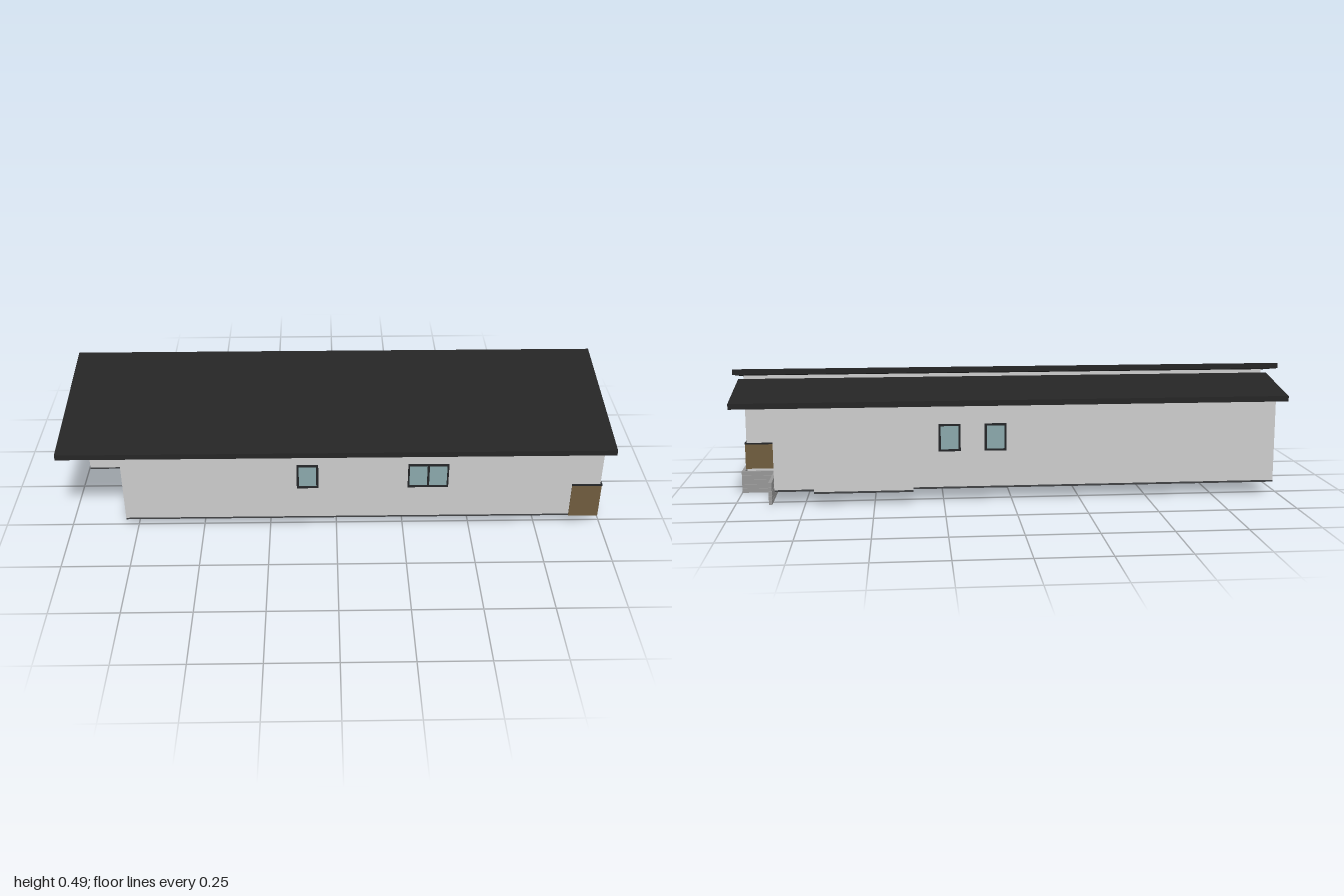
import * as THREE from 'three';

const mat = (color) => new THREE.MeshStandardMaterial({ color, flatShading: true });
const wallMat = mat(0xcccccc);
const roofMat = mat(0x252525);
const frameMat = mat(0x242628);
const glassMat = mat(0x8aa8ab);
const brickMat = mat(0x6f5c3e);
const floorMat = mat(0x404244);
const deckMat = mat(0x979797);

// Undersides of the two roof planes
const mainY = (z) => 0.37 + 0.164 * (0.36 - z);
const backY = (z) => 0.41 + 0.171 * (z + 0.085);

export function createModel() {
  const house = new THREE.Group();
  house.name = 'house';

  const add = (name, geometry, material, parent = house) => {
    const mesh = new THREE.Mesh(geometry, material);
    mesh.name = name;
    parent.add(mesh);
    return mesh;
  };

  const box = (name, material, x0, x1, y0, y1, z0, z1, parent) => {
    const mesh = add(name, new THREE.BoxGeometry(x1 - x0, y1 - y0, z1 - z0), material, parent);
    mesh.position.set((x0 + x1) / 2, (y0 + y1) / 2, (z0 + z1) / 2);
    return mesh;
  };

  // Prism along x from a [z, y] cross-section
  const prism = (name, material, points, x0, x1) => {
    const shape = new THREE.Shape(points.map(([z, y]) => new THREE.Vector2(-z, y)));
    const g = new THREE.ExtrudeGeometry(shape, { depth: x1 - x0, bevelEnabled: false });
    g.rotateY(Math.PI / 2).translate(x0, 0, 0);
    return add(name, g, material);
  };

  // Wall blocks with sloped tops, each on its strip of floor slab
  const blocks = [
    ['mainRoom', -0.79, 0.98, -0.085, 0.28, mainY],
    ['porchRoom', -0.98, -0.79, -0.085, -0.055, mainY],
    ['backRooms', -0.98, 0.86, -0.28, -0.085, backY],
    ['backBay', 0.36, 0.715, -0.32, -0.28, backY],
  ];
  for (const [name, x0, x1, z0, z1, top] of blocks) {
    prism(name + 'Walls', wallMat,
      [[z0, 0.052], [z1, 0.052], [z1, top(z1)], [z0, top(z0)]], x0, x1);
    box(name + 'Floor', floorMat, x0, x1, 0.045, 0.052, z0, z1);
  }
  box('hatch', wallMat, 0.01, 0.26, 0.044, 0.05, -0.275, -0.17);

  // Two overlapping roof planes
  const roof = (name, z0, z1, under) => prism(name, roofMat,
    [[z0, under(z0)], [z1, under(z1)], [z1, under(z1) + 0.02], [z0, under(z0) + 0.02]], -1, 1);
  roof('mainRoof', -0.22, 0.36, mainY);
  roof('backRoof', -0.36, -0.085, backY);

  // Framed window facing +z before turning; cols and rows list pane spans
  const windowUnit = (name, w, h, cols, rows, x, y, z, turn) => {
    const group = new THREE.Group();
    group.name = name;
    const rect = (C, x0, x1, y0, y1) => new C([
      new THREE.Vector2(x0, y0), new THREE.Vector2(x1, y0),
      new THREE.Vector2(x1, y1), new THREE.Vector2(x0, y1)]);
    const shape = rect(THREE.Shape, -w / 2, w / 2, -h / 2, h / 2);
    for (const [a, b] of cols) {
      for (const [c, d] of rows) shape.holes.push(rect(THREE.Path, a, b, c, d));
    }
    add('frame', new THREE.ExtrudeGeometry(shape, { depth: 0.006, bevelEnabled: false }), frameMat, group);
    box('glass', glassMat, -w / 2 + 0.003, w / 2 - 0.003, -h / 2 + 0.003, h / 2 - 0.003, -0.002, 0.002, group);
    group.position.set(x, y, z);
    group.rotation.y = turn;
    house.add(group);
  };
  const single = [[-0.032, 0.032]];
  const fullHeight = [[-0.043, 0.043]];
  windowUnit('frontSmallWindow', 0.08, 0.1, single, fullHeight, -0.107, 0.235, 0.28, 0);
  windowUnit('frontDoubleWindow', 0.15, 0.1, [[-0.069, -0.004], [0.004, 0.069]], fullHeight,
    0.338, 0.235, 0.28, 0);
  for (const x of [0.06, 0.227]) {
    windowUnit('backWindow', 0.08, 0.1, single, fullHeight, x, 0.235, -0.28, Math.PI);
  }
  windowUnit('sideWindow', 0.08, 0.1, single, fullHeight, -0.98, 0.235, -0.17, -Math.PI / 2);
  windowUnit('gableWindow', 0.25, 0.194, [-0.083, 0, 0.083].map((c) => [c - 0.035, c + 0.035]),
    [[-0.09, -0.04], [-0.025, 0.09]], 0.98, 0.215, 0.09, Math.PI / 2);

  // Masonry wainscot around the gable end, with dark caps
  box('wainscotFrontCorner', brickMat, 0.875, 0.985, 0.045, 0.183, 0.22, 0.284);
  box('wainscotUnderWindow', brickMat, 0.975, 0.985, 0.09, 0.115, -0.035, 0.22);
  box('wainscotBackCorner', brickMat, 0.86, 0.985, 0.09, 0.183, -0.09, -0.035);
  box('capFrontCorner', frameMat, 0.874, 0.987, 0.183, 0.188, 0.22, 0.285);
  box('capBackCorner', frameMat, 0.86, 0.987, 0.183, 0.188, -0.091, -0.035);

  // Plank skirting stepping around the gable end
  const planks = 5;
  const pitch = 0.083 / planks;
  for (let i = 0; i < planks; i++) {
    const y0 = i * pitch;
    const y1 = y0 + pitch - 0.001;
    box('skirtOuter', deckMat, 0.988, 1, y0, y1, -0.1, 0.218);
    box('skirtReturn', deckMat, 0.88, 0.988, y0, y1, -0.1, -0.09);
    box('skirtInner', deckMat, 0.868, 0.88, y0, y1, -0.29, -0.09);
  }
  return house;
}
